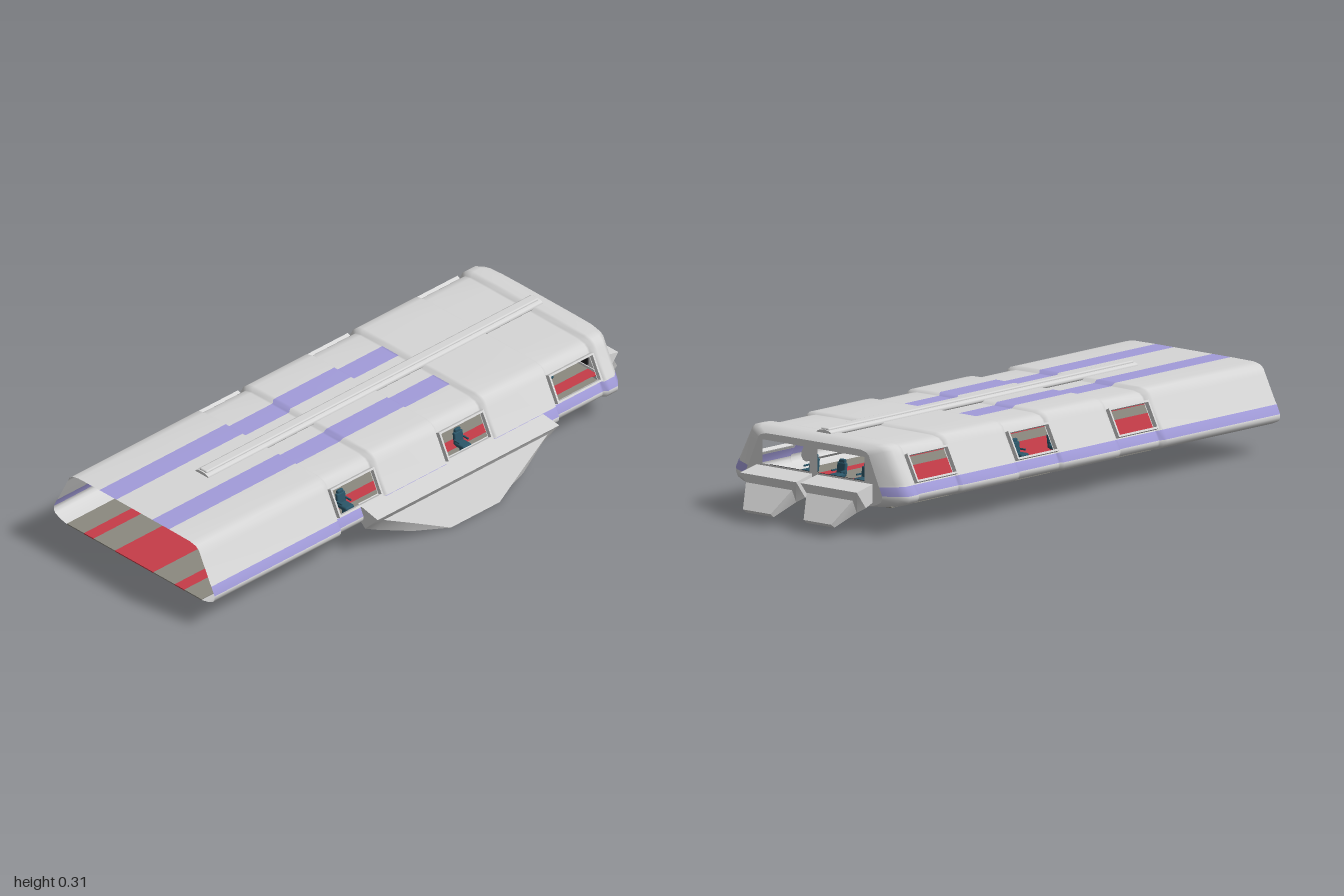
import * as THREE from 'three';
import { toCreasedNormals } from 'three/addons/utils/BufferGeometryUtils.js';
import { RoundedBoxGeometry } from 'three/addons/geometries/RoundedBoxGeometry.js';

const CX = -0.047; // centre line of the cabin

function material(name, color, side = THREE.FrontSide) {
  const m = new THREE.MeshStandardMaterial({ color, side });
  m.name = name;
  return m;
}
const hull = material('hull white', 0xd6d6d6, THREE.DoubleSide);
const purple = material('stripe purple', 0xa29cda, THREE.DoubleSide);
const grey = material('floor grey', 0x8b8980);
const red = material('carpet red', 0xc63c48);
const teal = material('seat teal', 0x2b5669);
const dark = material('panel dark', 0x1c1c1f);

function add(parent, name, geometry, mat, x = 0, y = 0, z = 0) {
  const mesh = new THREE.Mesh(geometry, mat);
  mesh.name = name;
  mesh.position.set(x, y, z);
  parent.add(mesh);
  return mesh;
}

// Half cross-section of the shell, from the floor edge up to the roof
const HALF = [
  [0.315, 0.09], [0.345, 0.097], [0.37, 0.108], [0.377, 0.12], [0.377, 0.132], [0.362, 0.163],
  [0.357, 0.17], [0.314, 0.255], [0.304, 0.275], [0.29, 0.286], [0.262, 0.292], [0.163, 0.293], [0.084, 0.293],
];
const PROFILE = [...HALF, ...HALF.slice().reverse().map(([x, y]) => [-x, y])];
const BAYS = [[0.43, 0.215], [-0.06, -0.28], [-0.555, -0.775]]; // recessed window bays

function section(inset, drop) {
  return PROFILE.map(([x, y]) => [
    x * (1 - inset / 0.377),
    y - drop * THREE.MathUtils.clamp((y - 0.1) / 0.19, 0, 1),
  ]);
}

// Rings run front to back: [z, inset, roof drop, window starts here]
function shellRings() {
  const rings = [[1, 0, 0], [0.7, 0, 0], [0.445, 0, 0]];
  for (const [a, b] of BAYS) {
    rings.push([a, 0, 0], [a - 0.008, 0.012, 0.01], [a - 0.016, 0.012, 0.01, true],
      [b + 0.016, 0.012, 0.01], [b + 0.008, 0.012, 0.01], [b, 0, 0], [b - 0.012, 0, 0]);
  }
  rings.push([-0.82, 0, 0], [-0.845, 0.025, 0.005], [-0.865, 0.08, 0.02]);
  return rings;
}

function shellGeometry() {
  const rings = shellRings(), n = PROFILE.length;
  const pos = [], white = [], violet = [];
  for (const [z, inset, drop] of rings) for (const [x, y] of section(inset, drop)) pos.push(x + CX, y, z);
  for (let i = 0; i < rings.length - 1; i++) {
    for (let j = 0; j < n - 1; j++) {
      const h = Math.min(j, n - 2 - j); // mirrored strip number
      if (rings[i][3] && h === 6) continue; // window opening
      const striped = h === 4 || (h === 11 && rings[i][0] > -0.27);
      const a = i * n + j, b = a + n;
      (striped ? violet : white).push(a, b, a + 1, b, b + 1, a + 1);
    }
  }
  const g = new THREE.BufferGeometry();
  g.setAttribute('position', new THREE.Float32BufferAttribute(pos, 3));
  g.setIndex([...white, ...violet]);
  g.computeVertexNormals();
  g.addGroup(0, white.length, 0);
  g.addGroup(white.length, violet.length, 1);
  return g;
}

function rectPath(x0, x1, y0, y1) {
  return new THREE.Path([[x0, y0], [x0, y1], [x1, y1], [x1, y0]].map(p => new THREE.Vector2(...p)));
}

// Frame with a rectangular opening, lying in local x/y
function frameGeometry(w, h, border, depth) {
  const s = new THREE.Shape(rectPath(-w / 2, w / 2, -h / 2, h / 2).getPoints());
  s.holes.push(rectPath(-w / 2 + border, w / 2 - border, -h / 2 + border, h / 2 - border));
  return new THREE.ExtrudeGeometry(s, { depth, bevelEnabled: false });
}

// Drooping thruster cowl: rows of [bottom reach, bottom y, top reach, top y, half width]
function cowlGeometry(rows) {
  const pos = [], idx = [];
  for (const [ob, yb, ot, yt, w] of rows) pos.push(-w, yb, ob, w, yb, ob, w, yt, ot, -w, yt, ot);
  for (let i = 0; i < rows.length - 1; i++) {
    for (let j = 0; j < 4; j++) {
      const a = i * 4 + j, b = i * 4 + (j + 1) % 4;
      idx.push(a, b, a + 4, b, b + 4, a + 4);
    }
  }
  const e = (rows.length - 1) * 4;
  idx.push(e, e + 1, e + 2, e, e + 2, e + 3);
  const g = new THREE.BufferGeometry();
  g.setAttribute('position', new THREE.Float32BufferAttribute(pos, 3));
  g.setIndex(idx);
  return toCreasedNormals(g, 0.6);
}

// Swivel seat facing +z, standing on the floor
function makeSeat(x, z, turn) {
  const seat = new THREE.Group();
  seat.name = 'seat';
  add(seat, 'seatFoot', new THREE.CylinderGeometry(0.009, 0.014, 0.008, 10), teal, 0, 0.092, 0);
  add(seat, 'seatStem', new THREE.CylinderGeometry(0.007, 0.009, 0.03, 10), teal, 0, 0.106, 0);
  add(seat, 'seatPan', new RoundedBoxGeometry(0.038, 0.016, 0.044, 2, 0.006), teal, 0, 0.126, 0.006);
  const back = add(seat, 'seatBack', new RoundedBoxGeometry(0.038, 0.046, 0.013, 2, 0.005), teal, 0, 0.145, -0.018);
  back.rotation.x = -0.12;
  add(seat, 'headrest', new RoundedBoxGeometry(0.026, 0.018, 0.012, 2, 0.005), teal, 0, 0.17, -0.022);
  for (const s of [-1, 1]) add(seat, 'armrest', new THREE.BoxGeometry(0.005, 0.005, 0.026), teal, s * 0.02, 0.142, -0.003);
  seat.position.set(x, 0, z);
  seat.rotation.y = turn;
  return seat;
}

export function createModel() {
  const model = new THREE.Group();
  model.name = 'hoverCabin';
  add(model, 'shell', shellGeometry(), [hull, purple]);

  // Rear wall with two windows
  const wall = new THREE.Shape(section(0.08, 0.02).map(([x, y]) => new THREE.Vector2(x + CX, y)));
  wall.holes.push(rectPath(-0.268, -0.065, 0.17, 0.25), rectPath(-0.03, 0.174, 0.17, 0.25));
  add(model, 'rearWall', new THREE.ShapeGeometry(wall), hull, 0, 0, -0.865);
  for (const x of [-0.16, 0.05]) add(model, 'rearPanel', new THREE.BoxGeometry(0.205, 0.052, 0.006), dark, x, 0.142, -0.855);

  // Floor strips with red carpet runners
  const edges = [-0.315, -0.235, -0.19, -0.09, 0.09, 0.19, 0.235, 0.315];
  for (let i = 0; i < 7; i++) {
    const w = edges[i + 1] - edges[i], end = i % 6 === 0 ? -0.84 : -0.864;
    add(model, i % 2 ? 'carpet' : 'floor', new THREE.BoxGeometry(w, 0.004, 1 - end), i % 2 ? red : grey,
      CX + (edges[i] + edges[i + 1]) / 2, 0.091, (1 + end) / 2);
  }

  // Raised side window frames following the wall slope
  for (const [a, b] of BAYS) {
    for (const s of [-1, 1]) {
      const holder = new THREE.Group();
      holder.name = 'sideWindow';
      holder.position.set(CX + s * 0.327, 0.208, (a + b) / 2);
      holder.rotation.y = s * Math.PI / 2;
      const frame = add(holder, 'windowFrame', frameGeometry(a - b - 0.018, 0.1, 0.007, 0.016), hull);
      frame.rotation.x = -0.47;
      model.add(holder);
    }
  }

  // Roof rail: flattened tube with a narrow ridge
  const rail = add(model, 'roofRail', new THREE.CylinderGeometry(1, 1, 1.51, 12), hull, CX, 0.292, -0.06);
  rail.rotation.x = Math.PI / 2;
  rail.scale.set(0.032, 1, 0.012);
  add(model, 'roofRidge', new RoundedBoxGeometry(0.034, 0.014, 1.5, 2, 0.005), hull, CX, 0.302, -0.06);

  // Side thruster cowl on the left
  const side = add(model, 'sideThruster', cowlGeometry([
    [0.29, 0.115, 0.29, 0.166, 0.405], [0.33, 0.09, 0.388, 0.15, 0.41],
    [0.345, 0.075, 0.375, 0.127, 0.37], [0.385, 0.035, 0.395, 0.07, 0.25], [0.41, 0.006, 0.42, 0.002, 0.11],
  ]), hull, 0, 0, -0.09);
  side.rotation.y = Math.PI / 2;

  // Pair of rear thruster cowls
  for (const x of [-0.183, 0.08]) {
    const rear = add(model, 'rearThruster', cowlGeometry([
      [0.86, 0.105, 0.86, 0.165, 0.12], [0.9, 0.09, 0.945, 0.148, 0.122],
      [0.92, 0.075, 0.94, 0.118, 0.1], [0.985, 0.03, 1, 0.042, 0.06],
    ]), hull, x);
    rear.rotation.y = Math.PI;
  }

  // Seats: a row along each side facing out, three at the rear facing back
  for (const z of [0.31, 0.135, -0.045, -0.22]) {
    model.add(makeSeat(-0.215, z, -Math.PI / 2), makeSeat(0.222, z, Math.PI / 2));
  }
  for (const x of [-0.107, 0, 0.12]) model.add(makeSeat(x, -0.69, Math.PI));
  return model;
}
